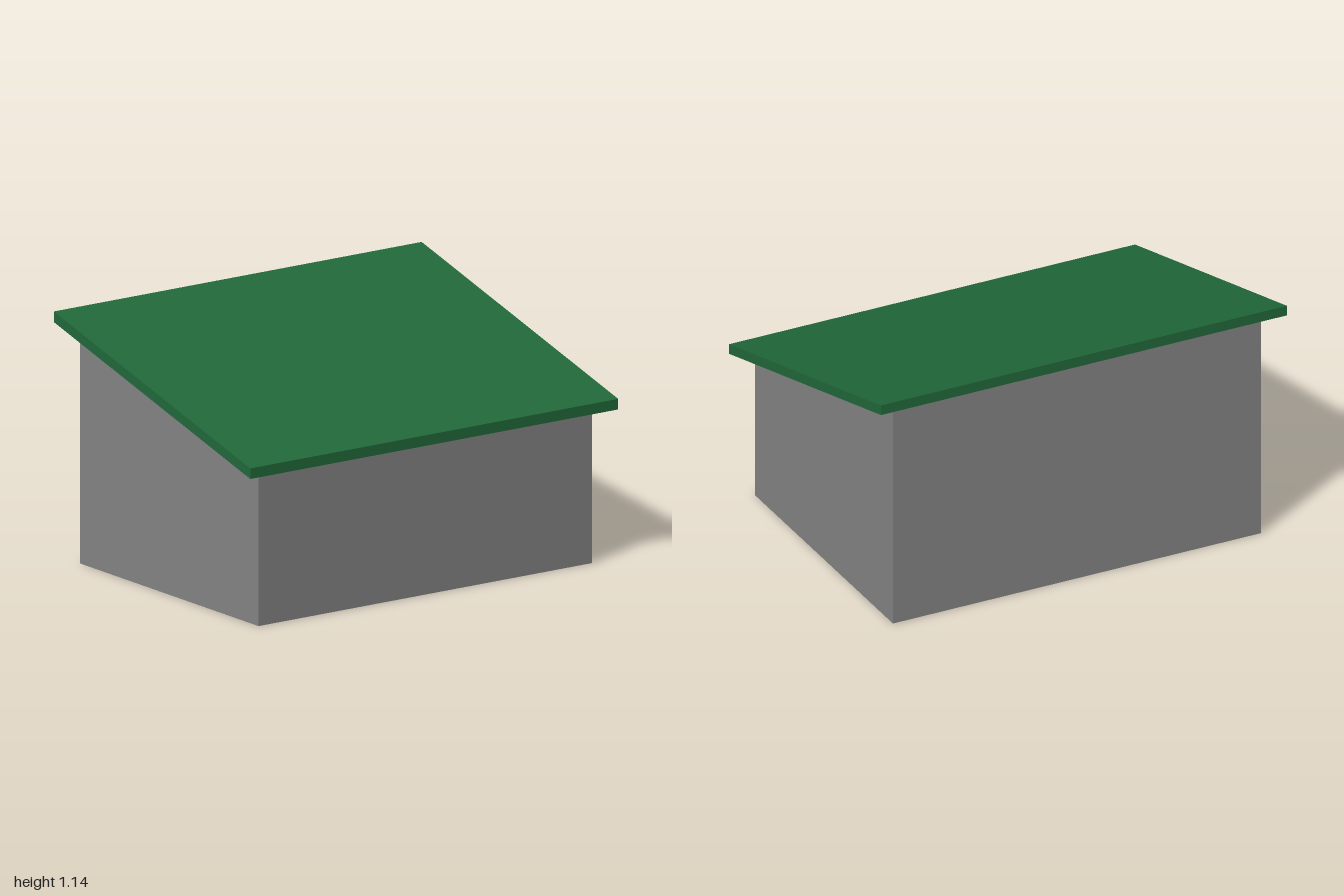
import * as THREE from 'three';

const HALF_DEPTH = 0.728;
const EAVE = 0.696;     // lower roof edge at the front
const RIDGE = 1.095;    // lower roof edge at the back
const FASCIA = 0.048;   // vertical depth of the roof edge

// Height of the sloping roof's lower edge at depth z
const slope = (z) => THREE.MathUtils.mapLinear(z, HALF_DEPTH, -HALF_DEPTH, EAVE, RIDGE);

// Box faces in order: 0 left, 1 right, 2 top, 3 bottom, 4 front, 5 back
function openShell(name, width, depth, bottomAt, topAt, faces, color) {
  const geometry = new THREE.BoxGeometry(width, 1, depth);
  const pos = geometry.attributes.position;
  for (let i = 0; i < pos.count; i++) {
    const z = pos.getZ(i);
    pos.setY(i, pos.getY(i) > 0 ? topAt(z) : bottomAt(z));
  }
  const index = Array.from(geometry.index.array);
  geometry.setIndex(faces.flatMap((f) => index.slice(f * 6, f * 6 + 6)));
  geometry.clearGroups();
  geometry.computeVertexNormals();
  const material = new THREE.MeshStandardMaterial({
    color, side: THREE.DoubleSide, flatShading: true,
  });
  const mesh = new THREE.Mesh(geometry, material);
  mesh.name = name;
  return mesh;
}

export function createModel() {
  const group = new THREE.Group();
  group.name = 'shed';
  // Four thin walls, open below, with tops cut to the roof slope
  group.add(openShell('walls', 1.814, 1.324, () => 0, slope, [0, 1, 4, 5], 0x858585));
  // Sloping roof sheet with fascias on all sides, open underneath
  group.add(openShell('roof', 2, HALF_DEPTH * 2, slope, (z) => slope(z) + FASCIA,
    [0, 1, 2, 4, 5], 0x216a3b));
  return group;
}
